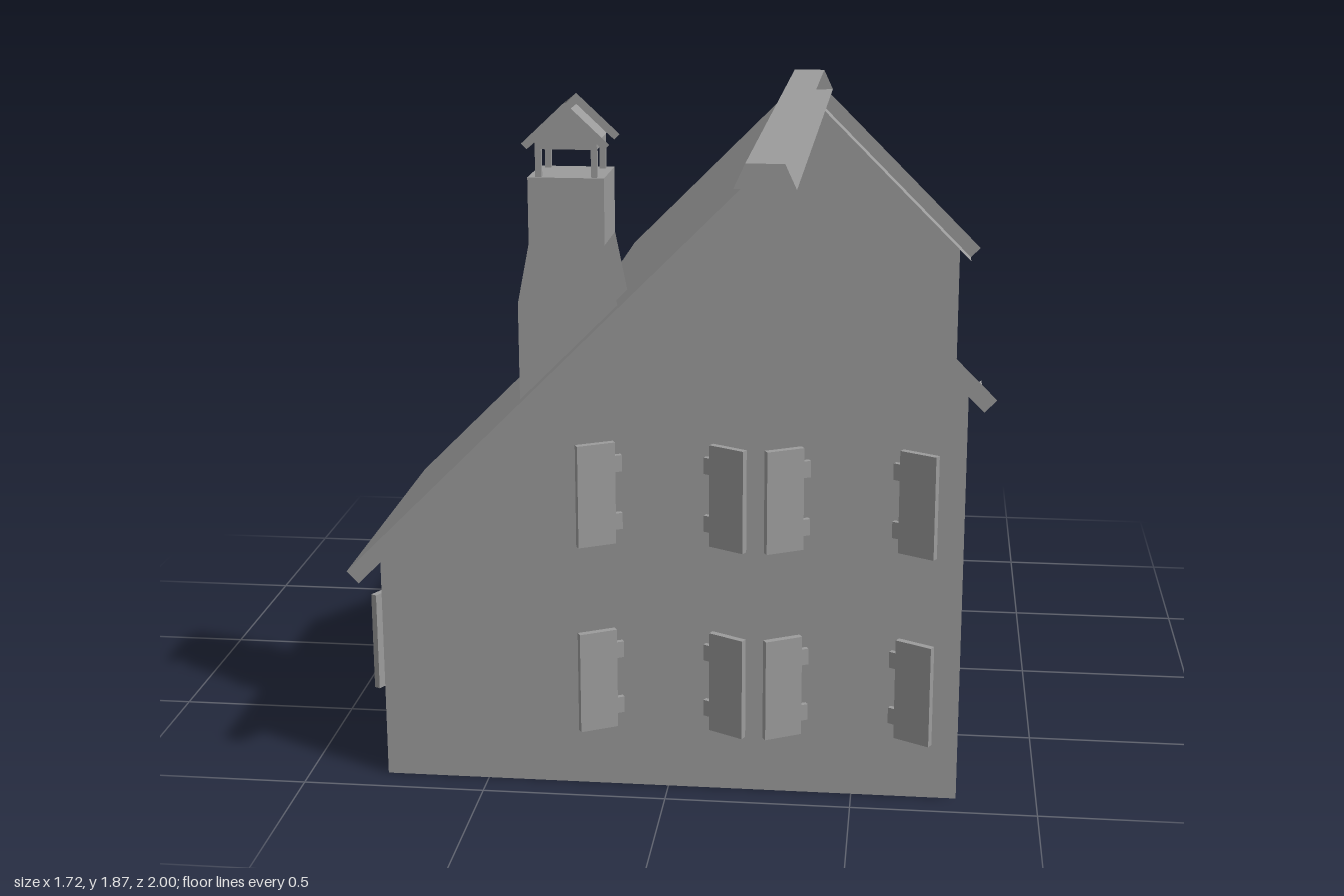
import * as THREE from 'three';

const mat = new THREE.MeshStandardMaterial({ color: 0x9c9c9c, side: THREE.DoubleSide, flatShading: true });

function mesh(name, geo, parent) {
  const m = new THREE.Mesh(geo, mat);
  m.name = name;
  parent.add(m);
  return m;
}

// Flat four-cornered faces, each given as four [x, y, z] corners
function quads(list) {
  const pos = [];
  for (const [a, b, c, d] of list) pos.push(...a, ...b, ...c, ...a, ...c, ...d);
  const g = new THREE.BufferGeometry();
  g.setAttribute('position', new THREE.Float32BufferAttribute(pos, 3));
  g.computeVertexNormals();
  return g;
}

const outline = pts => new THREE.Shape(pts.map(p => new THREE.Vector2(...p)));
const panel = (pts, z) => new THREE.ShapeGeometry(outline(pts)).translate(0, 0, z);
const prism = (pts, z0, z1) =>
  new THREE.ExtrudeGeometry(outline(pts), { depth: z1 - z0, bevelEnabled: false }).translate(0, 0, z0);
const box = (w, h, d, x, y, z) => new THREE.BoxGeometry(w, h, d).translate(x, y, z);

// Strip of faces along an open [x, y] path, running from z0 to z1
const strip = (path, z0, z1) => quads(path.slice(1).map((b, i) =>
  [[...path[i], z0], [...path[i], z1], [...b, z1], [...b, z0]]));

// Roof planes: 45 degree slopes either side of the ridge
const RIDGE = 0.26, SLOPE_TOP = 1.735, SLOPE_UNDER = 1.67;
const topAt = x => SLOPE_TOP - Math.abs(x - RIDGE);
const underAt = x => SLOPE_UNDER - Math.abs(x - RIDGE);

// Fascia and soffit along a roof edge; the edge is listed as [outerX, outerZ, innerX, innerZ]
function overhang(edge) {
  const rings = edge.map(([ox, oz, ix, iz]) => {
    const lx = ox - Math.sign(ox - RIDGE) * 0.032;
    return [[ox, topAt(ox), oz], [lx, underAt(lx), oz], [ix, underAt(ix), iz]];
  });
  const faces = [];
  for (let i = 0; i + 1 < rings.length; i++) {
    const a = rings[i], b = rings[i + 1];
    for (let k = 0; k < 2; k++) faces.push([a[k], b[k], b[k + 1], a[k + 1]]);
  }
  return quads(faces);
}

// One open shutter with two hinges, pivoting at its hinge line
function shutter(parent, x, y, side) {
  const g = new THREE.Group();
  g.name = 'shutter';
  mesh('shutterPanel', box(0.106, 0.28, 0.018, 0.071, 0.14, 0.009), g);
  for (const h of [0.06, 0.22]) mesh('shutterHinge', box(0.03, 0.045, 0.014, 0.013, h, 0.009), g);
  g.rotation.y = -0.5;
  g.position.y = y;
  const mirror = new THREE.Group();
  mirror.name = 'shutterSide';
  mirror.scale.x = side;
  mirror.position.x = x;
  mirror.add(g);
  parent.add(mirror);
}

// Pairs of shutters on one wall, windows given by their centre and sill height
function shutterWall(parent, name, pos, turn, windows) {
  const g = new THREE.Group();
  g.name = name;
  g.position.set(...pos);
  g.rotation.y = turn;
  for (const [c, y] of windows) for (const s of [-1, 1]) shutter(g, c + s * 0.117, y, s);
  parent.add(g);
}

function createChimney(house) {
  const g = new THREE.Group();
  g.name = 'chimney';
  house.add(g);
  const z0 = 0.69, z1 = 0.88, cx = -0.265;
  // Shaft, open on the right below the neck
  const side = [[-0.133, 0.92], [-0.133, 1.34], [-0.165, 1.5], [-0.165, 1.675],
    [-0.365, 1.675], [-0.365, 1.5], [-0.397, 1.34], [-0.397, 0.92]];
  for (const z of [z0, z1]) mesh('chimneySide', panel(side, z), g);
  mesh('chimneyShaft', strip(side.slice(2), z0, z1), g);
  // Posts and frame carrying the little gabled cover
  for (const x of [-0.073, 0.073]) for (const z of [0.713, 0.862])
    mesh('coverPost', box(0.016, 0.08, 0.016, cx + x, 1.71, z), g);
  mesh('coverFrame', box(0.162, 0.018, 0.165, cx, 1.756, 0.7875), g);
  // Cover: gable ends, left slope and the lining, with the right slope left open
  const at = pts => pts.map(([x, y]) => [cx + x, y]);
  const gable = at([[-0.115, 1.762], [0, 1.87], [0.115, 1.762], [0.1, 1.748], [0.08, 1.766],
    [-0.08, 1.766], [-0.1, 1.748]]);
  for (const z of [z0, z1]) mesh('coverGable', panel(gable, z), g);
  mesh('coverSlope', strip(at([[0, 1.87], [-0.115, 1.762], [-0.1, 1.748], [-0.08, 1.766]]), z0, z1), g);
  mesh('coverLining', strip(at([[-0.08, 1.766], [0, 1.841], [0.08, 1.766]]), z0, z1), g);
}

function createFlowerBox(house) {
  const g = new THREE.Group();
  g.name = 'flowerBox';
  house.add(g);
  mesh('planter', box(0.055, 0.035, 0.18, -0.305, 0.165, -0.13), g);
  let seed = 7;
  const rnd = () => (seed = (seed * 16807) % 2147483647) / 2147483647;
  for (let i = 0; i < 36; i++) {
    const f = mesh('flower', new THREE.IcosahedronGeometry(0.01 + rnd() * 0.006, 0), g);
    f.position.set(-0.28 - rnd() * 0.06, 0.18 + rnd() * 0.04, -0.22 + i * 0.005);
    f.rotation.set(rnd() * 3, rnd() * 3, 0);
  }
}

export function createModel() {
  const house = new THREE.Group();
  house.name = 'house';

  // Walls; the right side is left open
  const frontX = -0.784, stepX = -0.26, rightX = 0.784, gz = 0.917, stepZ = 0.13;
  const gable = x => [[x, 0], [rightX, 0], [rightX, underAt(rightX)], [RIDGE, SLOPE_UNDER], [x, underAt(x)]];
  mesh('frontGable', panel(gable(frontX), gz), house);
  mesh('backGable', panel(gable(stepX), -gz), house);
  mesh('wingBackWall', panel([[frontX, 0], [stepX, 0], [stepX, underAt(stepX)], [frontX, underAt(frontX)]], stepZ), house);
  const sideWall = (x, z0, z1) => strip([[x, 0], [x, underAt(x)]], z0, z1);
  mesh('wingSideWall', sideWall(frontX, stepZ, gz), house);
  mesh('mainSideWall', sideWall(stepX, -gz, stepZ), house);

  // Left roof slope, longer over the wing
  const rz = 0.983, e1 = -0.86, e2 = -0.34, ez = 0.06;
  const slope = (x0, x1, z0, z1) => strip([[x0, topAt(x0)], [x1, topAt(x1)]], z0, z1);
  mesh('mainRoofSlope', slope(e2, RIDGE, -rz, rz), house);
  mesh('wingRoofSlope', slope(e1, e2, ez, rz), house);
  mesh('roofOverhang', overhang([
    [RIDGE, rz, RIDGE, gz], [e1, rz, frontX, gz], [e1, ez, frontX, stepZ],
    [e2, ez, stepX, stepZ], [e2, -rz, stepX, -gz], [RIDGE, -rz, RIDGE, -gz]]), house);

  // Right side keeps only the gable rakes and a sliver of eave
  const eaveX = 0.855, lipX = eaveX - 0.032;
  mesh('frontRake', overhang([[RIDGE, rz, RIDGE, gz], [eaveX, rz, rightX, gz]]), house);
  mesh('backRake', overhang([[RIDGE, -rz, RIDGE, -gz], [eaveX, -rz, lipX, -gz]]), house);
  const tip = [lipX, underAt(lipX), 0.66];
  mesh('eaveSliver', quads([[[rightX, underAt(rightX), gz], [lipX, underAt(lipX), rz], tip, tip]]), house);

  // Ridge cap, open on the right
  const cap = [[0.34, 1.675], [0.18, 1.675], [0.21, 1.74], [0.31, 1.74]];
  mesh('ridgeCap', strip(cap, -1, 1), house);
  for (const z of [-1, 1]) mesh('ridgeCapEnd', panel(cap, z), house);

  createChimney(house);

  // Rafter ends under the main eave
  for (let i = 0; i < 4; i++)
    mesh('rafterEnd', prism([[-0.26, 0.99], [-0.32, 1.0], [-0.32, 1.09], [-0.26, 1.15]], 0, 0.07), house)
      .position.z = -0.825 + i * 0.265;

  // Shutters
  const low = 0.181, high = 0.706;
  shutterWall(house, 'frontShutters', [0, 0, gz], 0, [[-0.01, low], [0.488, low], [-0.01, high], [0.488, high]]);
  shutterWall(house, 'backShutters', [0, 0, -gz], Math.PI, [[-0.035, low], [-0.535, low]]);
  shutterWall(house, 'wingShutters', [frontX, 0, 0], -Math.PI / 2, [[0.53, low]]);
  shutterWall(house, 'mainSideShutters', [stepX, 0, 0], -Math.PI / 2, [[-0.13, low]]);

  createFlowerBox(house);
  return house;
}
